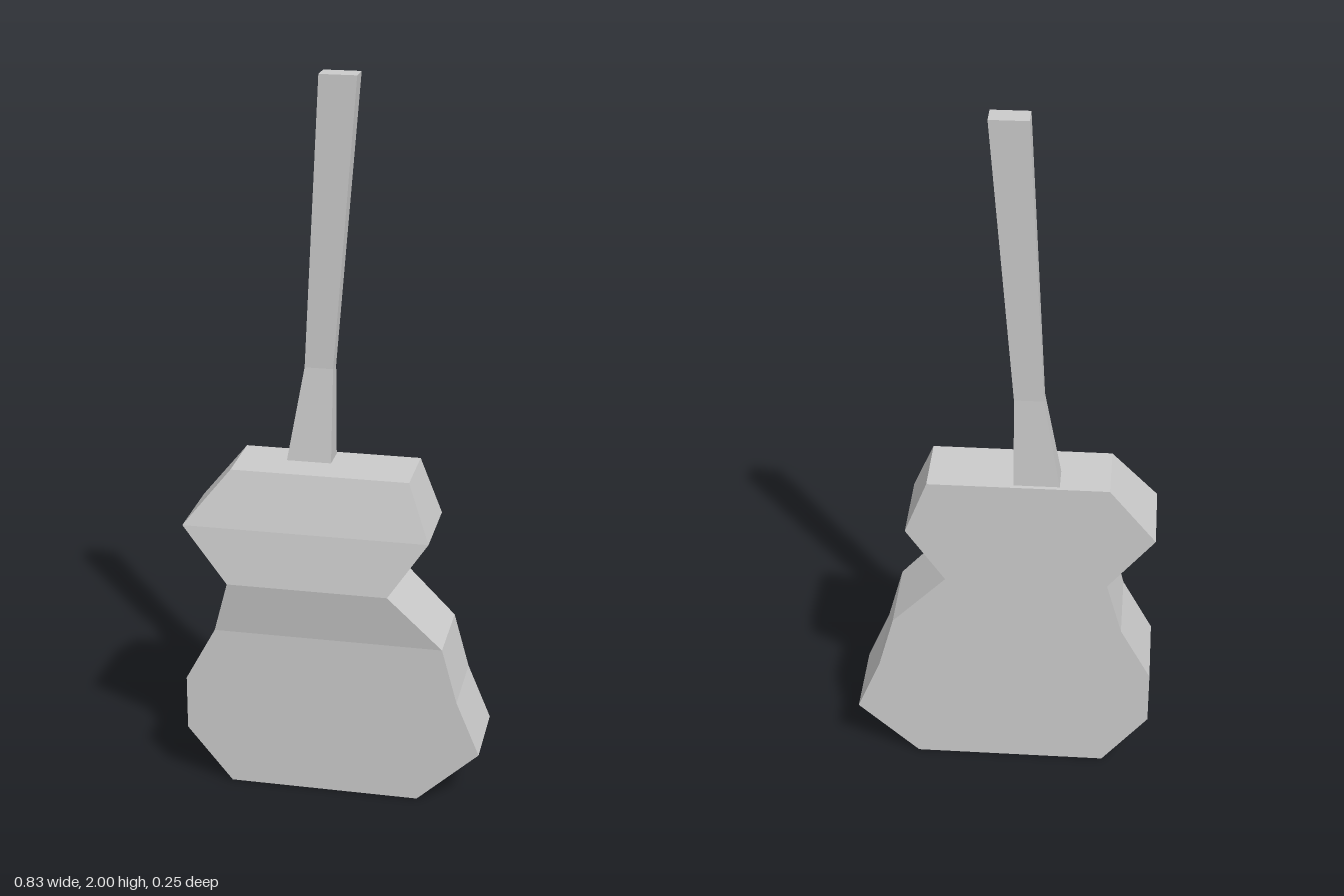
import * as THREE from 'three';

// Lofts a closed four-sided solid through rows of [y, xRight, xLeft, zFront, zBack].
function loft(name, rows) {
  const rings = rows.map(([y, x0, x1, zf, zb]) => [
    [x0, y, zf], [x1, y, zf], [x1, y, zb], [x0, y, zb],
  ]);
  const positions = [];
  const quad = (a, b, c, d) => positions.push(...a, ...b, ...c, ...a, ...c, ...d);

  for (let r = 0; r < rings.length - 1; r++) {
    const low = rings[r], high = rings[r + 1];
    for (let i = 0; i < 4; i++) {
      const j = (i + 1) % 4;
      quad(low[i], low[j], high[j], high[i]);
    }
  }
  quad(...rings[rings.length - 1]); // top cap
  quad(...[...rings[0]].reverse()); // bottom cap

  const geometry = new THREE.BufferGeometry();
  geometry.setAttribute('position', new THREE.Float32BufferAttribute(positions, 3));
  geometry.computeVertexNormals();
  const mesh = new THREE.Mesh(
    geometry,
    new THREE.MeshStandardMaterial({ color: 0xcccccc, flatShading: true }),
  );
  mesh.name = name;
  return mesh;
}

export function createModel() {
  const group = new THREE.Group();
  group.name = 'guitar';

  // Waisted body with a flat back
  const back = -0.127;
  group.add(loft('body', [
    [0, -0.29, 0.243, 0.105, back],
    [0.157, -0.418, 0.415, 0.105, back],
    [0.313, -0.418, 0.35, 0.105, back],
    [0.47, -0.333, 0.307, 0.105, back],
    [0.623, -0.29, 0.157, 0.127, back],
    [0.78, -0.418, 0.265, 0.105, back],
    [0.937, -0.29, 0.203, 0.062, back],
  ]));

  // Slim neck, flared where it meets the body
  group.add(loft('neck', [
    [0.937, -0.155, -0.031, -0.037, -0.115],
    [1.2, -0.11, -0.031, -0.066, -0.108],
    [2, -0.069, 0.033, -0.066, back],
  ]));

  return group;
}
